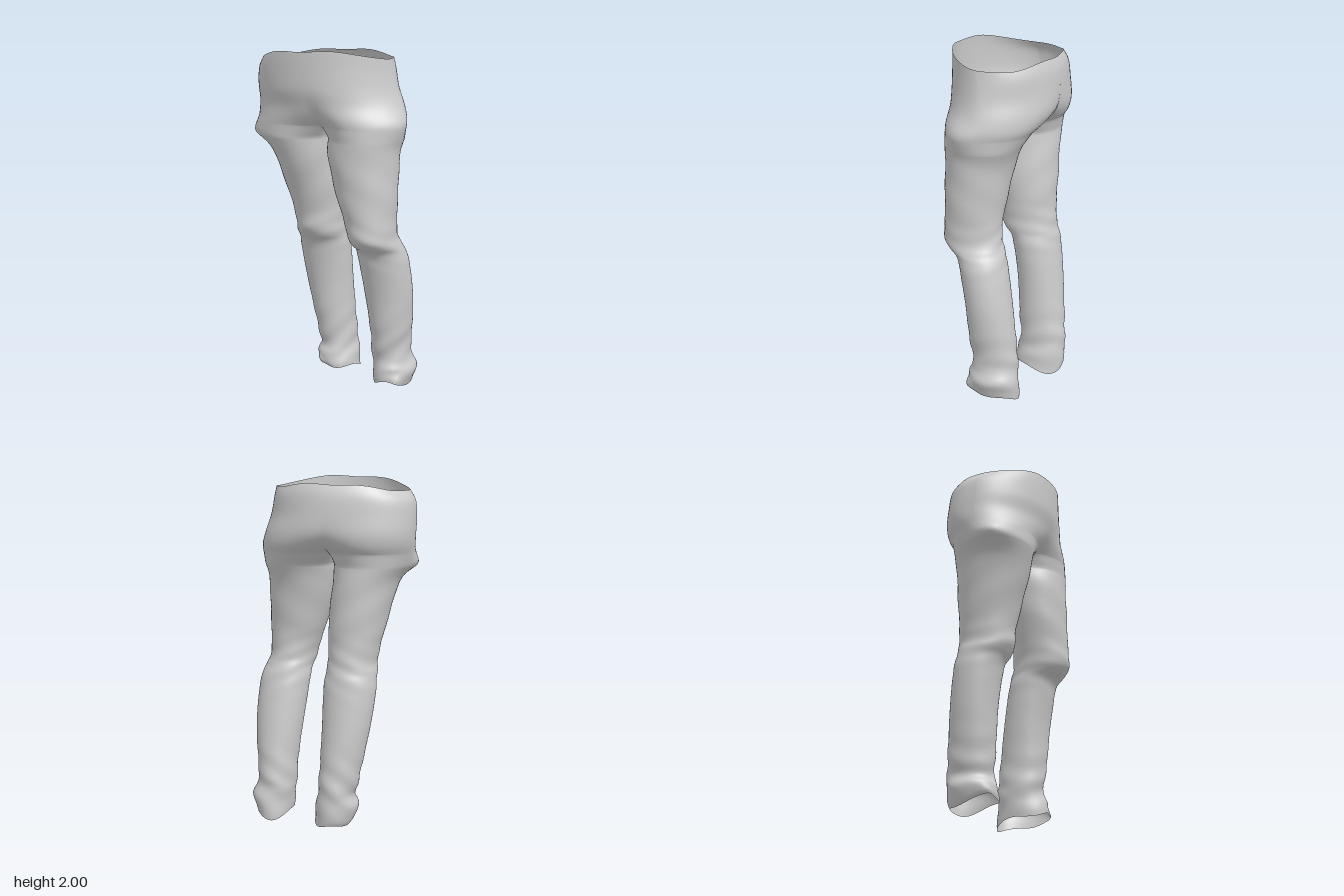
import * as THREE from 'three';

const OUT = 36, IN = 12;                       // points on the outer arc and the inner-thigh arc
const OPEN = THREE.MathUtils.degToRad(50);     // how far the outer arc wraps inward at the crotch

// Torso sections: y, seam x, right x, left x, front z, back z, wrap in degrees
const TORSO = [
  [1.945, -0.04, -0.43, 0.345, 0.33, -0.25, 0],
  [1.88, -0.04, -0.465, 0.358, 0.33, -0.277, 0],
  [1.78, -0.03, -0.475, 0.382, 0.325, -0.288, 2],
  [1.69, -0.01, -0.473, 0.412, 0.302, -0.284, 10],
  [1.62, 0, -0.468, 0.43, 0.287, -0.255, 28],
  [1.57, 0, -0.458, 0.43, 0.274, -0.215, 50],
];
// Leg sections: y, inner x, outer x, front z, back z
const LEFT = [
  [1.5, 0.002, 0.428, 0.282, -0.16],
  [1.4, 0.007, 0.415, 0.283, -0.118],
  [1.2, 0.06, 0.415, 0.28, -0.08],
  [1.05, 0.115, 0.412, 0.275, -0.062],
  [0.95, 0.142, 0.417, 0.275, -0.068],
  [0.9, 0.155, 0.43, 0.24, -0.085],
  [0.85, 0.16, 0.45, 0.177, -0.1],
  [0.75, 0.17, 0.465, 0.15, -0.123],
  [0.58, 0.19, 0.472, 0.118, -0.152],
  [0.4, 0.213, 0.462, 0.1, -0.177],
  [0.26, 0.222, 0.447, 0.082, -0.192],
  [0.19, 0.222, 0.46, 0.075, -0.195],
  [0.13, 0.235, 0.482, 0.09, -0.207],
  [0.07, 0.238, 0.465, 0.1, -0.21],
  [0.035, 0.243, 0.452, 0.1, -0.21],
];
const RIGHT = [
  [1.5, 0, -0.432, 0.255, -0.215],
  [1.4, 0.004, -0.375, 0.225, -0.218],
  [1.2, 0.018, -0.322, 0.155, -0.223],
  [1.05, 0.015, -0.285, 0.11, -0.223],
  [0.95, 0.017, -0.268, 0.1, -0.232],
  [0.9, 0.02, -0.272, 0.075, -0.24],
  [0.85, 0.026, -0.275, 0.035, -0.252],
  [0.75, 0.03, -0.272, 0.01, -0.267],
  [0.58, 0.03, -0.249, -0.015, -0.287],
  [0.4, 0.035, -0.214, -0.03, -0.306],
  [0.26, 0.04, -0.187, -0.045, -0.32],
  [0.19, 0.045, -0.17, -0.05, -0.325],
  [0.13, 0.057, -0.188, -0.035, -0.325],
  [0.07, 0.062, -0.17, -0.025, -0.322],
  [0.04, 0.065, -0.15, -0.03, -0.315],
];

const { smoothstep, lerp } = THREE.MathUtils;
const bell = (v, c, w) => Math.exp(-(((v - c) / w) ** 2));

// Smoothly resample a table of sections
function refine(rows, steps) {
  const out = [];
  for (let i = 0; i < rows.length - 1; i++) {
    const p0 = rows[Math.max(i - 1, 0)], p1 = rows[i], p2 = rows[i + 1], p3 = rows[Math.min(i + 2, rows.length - 1)];
    for (let k = 0; k < steps; k++) {
      const u = k / steps;
      out.push(p1.map((b, c) => {
        const a = p0[c], d = p2[c], e = p3[c];
        return b + 0.5 * u * (d - a + u * (2 * a - 5 * b + 4 * d - e + u * (3 * (b - d) + e - a)));
      }));
    }
  }
  out.push(rows[rows.length - 1]);
  return out;
}

// Rounded outline point; powers below 1 are squarer, above 1 more pointed
function outlineZ(t, front, back, frontPower = 1, backPower = 1) {
  const c = Math.cos(t);
  return (front + back) / 2 + (front - back) / 2 * Math.sign(c) * Math.abs(c) ** (c < 0 ? backPower : frontPower);
}

// One half of a torso section, from front seam round the hip to back seam
function torsoArc([y, seam, right, left, front, back, wrap], side) {
  const a = THREE.MathUtils.degToRad(Math.max(wrap, 0));
  const rx = ((side > 0 ? left : right) - seam) / (1 + Math.sin(a));
  const flat = 1 - smoothstep(wrap, 0, 50);
  const upper = smoothstep(y, 1.75, 1.95);
  // the weight rests on one hip, so the left seat is slimmer than the right
  const backPower = side > 0 ? lerp(1.15, 0.85, upper) : lerp(1, 0.75, flat);
  const stride = side * 0.014 * (1 - smoothstep(y, 1.57, 1.8));
  return Array.from({ length: OUT + 1 }, (_, j) => {
    const t = -a + (Math.PI + 2 * a) * j / OUT;
    const x = seam + rx * (Math.sin(a) + Math.sin(t));
    const z = outlineZ(t, front, back, lerp(1, 1.25, flat), backPower) + stride * smoothstep(Math.abs(x - seam), 0, 0.18);
    // wavy waist edge, high at the front
    const rim = 0.052 * smoothstep(z, 0.03, 0.34) + 0.018 * smoothstep(-z, 0.12, 0.26)
      - 0.018 * smoothstep(-x, -0.05, 0.45) + 0.004 * Math.cos(20 * (x - 0.1));
    return [x, y + rim * smoothstep(y, 1.78, 1.945), z];
  });
}

// Closed leg section with cloth folds at knee and ankle
function legRing([y, inner, outer, front, back], side) {
  const rx = (outer - inner) / 2, cx = (outer + inner) / 2, cz = (front + back) / 2;
  return Array.from({ length: OUT + IN }, (_, j) => {
    const t = j <= OUT ? -OPEN + (Math.PI + 2 * OPEN) * j / OUT
      : Math.PI + OPEN + (Math.PI - 2 * OPEN) * (j - OUT) / IN;
    const folds = 0.014 * bell(y, 0.92, 0.14) * Math.sin(y * 60 + 4 * Math.sin(t))
      + 0.035 * bell(y, 0.24, 0.16) * Math.sin(y * 42 + 4 * Math.cos(t + side))
      + 0.012 * bell(y, 1.25, 0.25) * Math.sin(y * 30 + 3 * t)
      + 0.18 * bell(t, 0.7, 0.25) * (1 - smoothstep(y, 0.03, 0.12));
    const x = cx + rx * Math.sin(t) * (1 + folds);
    const z = cz + (outlineZ(t, front, back) - cz) * (1 + folds);
    // hem lifted over the instep, slightly ragged
    const hem = 0.18 * (z - cz) + 0.012 * Math.sin(3 * t + side);
    return [x, y + hem * (1 - smoothstep(y, 0.03, 0.2)), z];
  });
}

export function createModel() {
  const positions = [], lookup = new Map();
  const faces = { waistAndSeat: [], leftLeg: [], rightLeg: [] };

  // Shared vertices keep shading smooth across the seams; pocket bulges are added here
  function vertex([x, y, z]) {
    const bulge = x > 0 ? 0.032 * bell(y, 1.59, 0.085) : 0.052 * bell(y, 1.51, 0.055);
    const px = x + Math.sign(x) * bulge * bell(z, 0.12, 0.11) * smoothstep(Math.abs(x), 0.2, 0.4);
    const key = [px, y, z].map(v => Math.round(v * 1e5)).join();
    if (!lookup.has(key)) {
      lookup.set(key, positions.length / 3);
      positions.push(px, y, z);
    }
    return lookup.get(key);
  }

  function loft(rings, closed, side, index) {
    const ids = rings.map(ring => ring.map(vertex));
    const n = ids[0].length;
    for (let i = 0; i < ids.length - 1; i++) {
      for (let j = 0; j < (closed ? n : n - 1); j++) {
        const k = (j + 1) % n;
        const a = ids[i][j], b = ids[i + 1][j], c = ids[i + 1][k], d = ids[i][k];
        if (side > 0) index.push(a, b, d, b, c, d);
        else index.push(a, d, b, b, d, c);
      }
    }
  }

  for (const side of [1, -1]) {
    // Half of the torso
    const arcs = refine(TORSO, 5).map(row => torsoArc(row, side));
    loft(arcs, false, side, faces.waistAndSeat);

    // Crotch ring: the hip arc closed by a dipping seam between the legs
    const crotch = arcs[arcs.length - 1].slice();
    const [, y, zFront] = crotch[0], zBack = crotch[OUT][2];
    for (let k = 1; k < IN; k++) {
      const u = k / IN;
      crotch.push([0, y - 0.04 * Math.sin(Math.PI * u), lerp(zBack, zFront, u)]);
    }

    // Leg
    const rings = refine(side > 0 ? LEFT : RIGHT, 5).map(row => legRing(row, side));
    const blend = [0, 0.25, 0.5, 0.75].map(u => crotch.map((p, j) => p.map((v, c) => lerp(v, rings[0][j][c], u))));
    loft([...blend, ...rings], true, side, side > 0 ? faces.leftLeg : faces.rightLeg);
  }

  // Normals come from the whole garment, then each part takes its own faces
  const whole = new THREE.BufferGeometry();
  whole.setAttribute('position', new THREE.Float32BufferAttribute(positions, 3));
  whole.setIndex(Object.values(faces).flat());
  whole.computeVertexNormals();

  const cloth = new THREE.MeshStandardMaterial({ color: 0xcccccc, side: THREE.DoubleSide });
  const group = new THREE.Group();
  group.name = 'trousers';
  for (const [name, index] of Object.entries(faces)) {
    const geometry = whole.clone();
    geometry.setIndex(index);
    const mesh = new THREE.Mesh(geometry, cloth);
    mesh.name = name;
    group.add(mesh);
  }
  return group;
}
